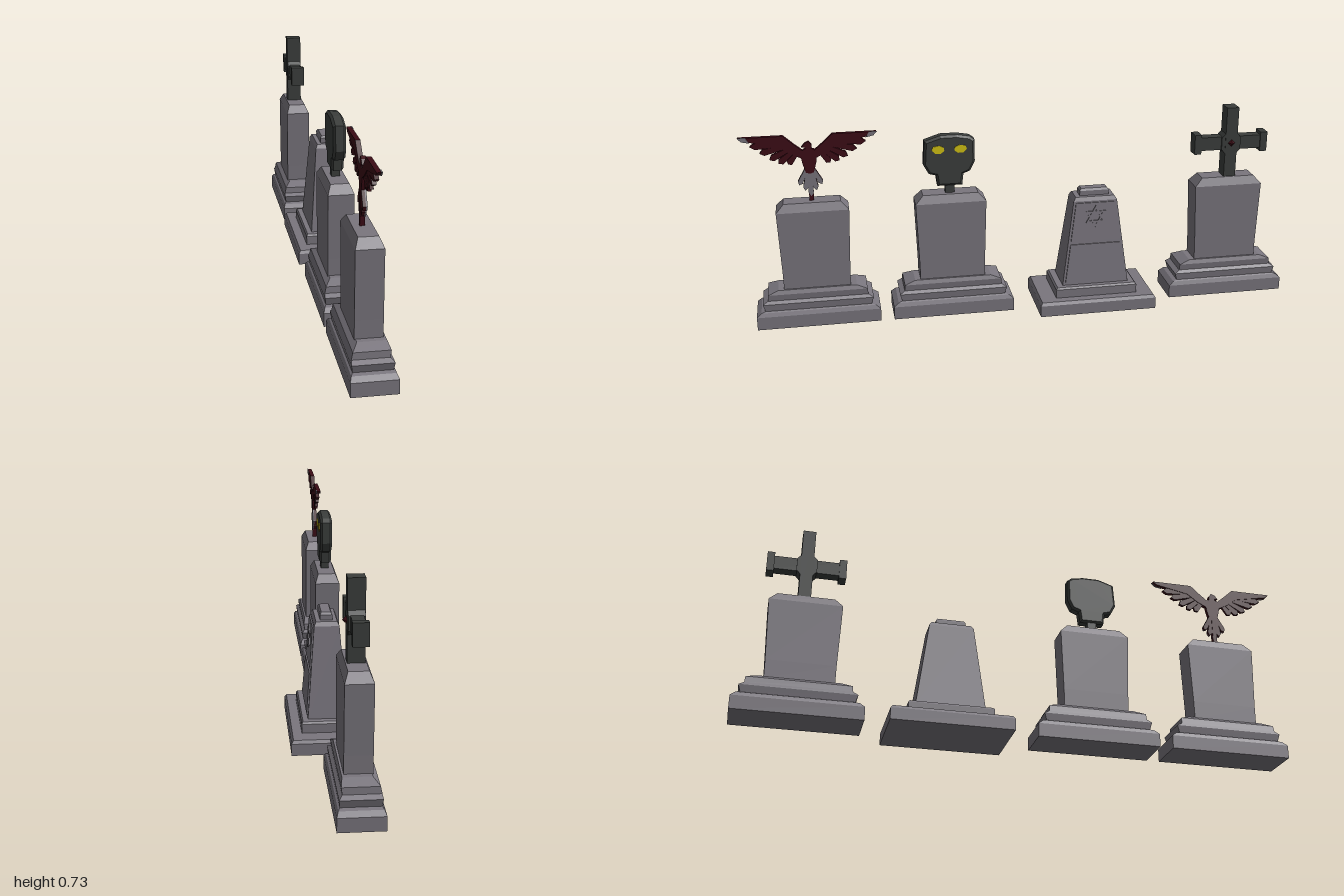
import * as THREE from 'three';

const mat = (color) => new THREE.MeshStandardMaterial({ color, flatShading: true, side: THREE.DoubleSide });
const STONE = mat(0x7a767e), DARK = mat(0x3b3e3c), RED = mat(0x3c0b15), YELLOW = mat(0xd2c212);

function add(parent, name, geometry, material, x = 0, y = 0, z = 0) {
  const mesh = new THREE.Mesh(geometry, material);
  mesh.name = name;
  mesh.position.set(x, y, z);
  parent.add(mesh);
  return mesh;
}

// Stack of rectangular rings [y, xMin, xMax, halfZ] joined into a closed solid
function loft(rings) {
  const pos = [], idx = [];
  for (const [y, a, b, h] of rings) pos.push(a, y, h, b, y, h, b, y, -h, a, y, -h);
  for (let r = 0; r < rings.length - 1; r++) {
    for (let i = 0; i < 4; i++) {
      const p = r * 4 + i, q = r * 4 + (i + 1) % 4;
      idx.push(p, q, q + 4, p, q + 4, p + 4);
    }
  }
  const t = (rings.length - 1) * 4;
  idx.push(0, 2, 1, 0, 3, 2, t, t + 1, t + 2, t, t + 2, t + 3);
  const g = new THREE.BufferGeometry();
  g.setAttribute('position', new THREE.Float32BufferAttribute(pos, 3));
  g.setIndex(idx);
  const flat = g.toNonIndexed();
  flat.computeVertexNormals();
  return flat;
}

// Flat outline seen from +x (first value runs towards -z), extruded from x0 to x1
function plate(points, x0, x1, hole, bevel = 0) {
  const shape = new THREE.Shape(points.map(([u, v]) => new THREE.Vector2(u, v)));
  if (hole) shape.holes.push(new THREE.Path(hole.map(([u, v]) => new THREE.Vector2(u, v))));
  const g = new THREE.ExtrudeGeometry(shape, {
    depth: x1 - x0 - 2 * bevel, bevelEnabled: bevel > 0, bevelSize: bevel,
    bevelThickness: bevel, bevelOffset: -bevel, bevelSegments: 1,
  });
  return g.translate(0, 0, x0 + bevel).rotateY(Math.PI / 2);
}

const mirror = (half) => [...half, ...half.slice().reverse().map(([u, v]) => [-u, v])];

// Moulded plinth and slab shared by three of the stones
function headstone(name, z) {
  const g = new THREE.Group();
  g.name = name;
  g.position.z = z;
  add(g, 'plinth', loft([
    [0, -0.12, 0.03, 0.222], [0.048, -0.12, 0.03, 0.222], [0.062, -0.114, 0.024, 0.205],
    [0.066, -0.108, 0.018, 0.19], [0.092, -0.112, 0.021, 0.198], [0.102, -0.11, 0.01, 0.18],
    [0.125, -0.105, 0.013, 0.178], [0.14, -0.086, 0.007, 0.14],
  ]), STONE);
  add(g, 'slab', loft([
    [0.13, -0.09, 0, 0.119], [0.2, -0.09, 0, 0.12], [0.43, -0.09, 0, 0.128], [0.46, -0.077, -0.013, 0.1],
  ]), STONE);
  return g;
}

// Spread-winged bird on a stem
function bird(parent) {
  const g = new THREE.Group();
  g.name = 'bird';
  parent.add(g);
  const x0 = -0.052, x1 = -0.036;
  add(g, 'birdBody', plate(mirror([
    [0, 0.56], [0.014, 0.565], [0.024, 0.6], [0.03, 0.64], [0.016, 0.65],
  ]), x0, x1), RED);
  add(g, 'birdHead', plate([
    [-0.012, 0.645], [0.012, 0.645], [0.012, 0.665], [0.002, 0.678], [-0.012, 0.672], [-0.024, 0.658], [-0.012, 0.658],
  ], x0, x1), RED);
  add(g, 'stem', new THREE.BoxGeometry(0.016, 0.12, 0.016), RED, -0.046, 0.51, 0);

  const feather = (name, [ax, ay], [bx, by], w, m, d0, d1) => {
    const l = Math.hypot(bx - ax, by - ay), nx = -(by - ay) / l * w, ny = (bx - ax) / l * w;
    const cx = ax + (bx - ax) * 0.85, cy = ay + (by - ay) * 0.85;
    add(g, name, plate([
      [ax - nx * 0.6, ay - ny * 0.6], [cx - nx, cy - ny], [bx, by], [cx + nx, cy + ny], [ax + nx * 0.6, ay + ny * 0.6],
    ], d0, d1), m);
  };
  const tips = [[0.2, 0.669], [0.168, 0.643], [0.135, 0.618], [0.105, 0.602], [0.073, 0.597]];
  for (const s of [-1, 1]) {
    add(g, 'wingArm', plate([
      [0.02, 0.615], [0.06, 0.635], [0.1, 0.665], [0.225, 0.69], [0.238, 0.702], [0.085, 0.702], [0.05, 0.67], [0.02, 0.645],
    ].map(([u, v]) => [s * u, v]), x0, x1), RED);
    add(g, 'wingTip', plate([
      [0.2, 0.683], [0.227, 0.689], [0.24, 0.703], [0.212, 0.703],
    ].map(([u, v]) => [s * u, v]), x1 - 0.002, x1 + 0.002), STONE);
    tips.forEach(([u, v], i) => feather('wingFeather', [s * (0.085 - i * 0.011), 0.672 - i * 0.009], [s * u, v],
      0.0115, RED, x0 + 0.002, x1 - 0.001 * i));
  }
  // Tail fan: pale front over a dark back
  for (let i = -2; i <= 2; i++) {
    const end = [i * 0.02, 0.475 + Math.abs(i) * 0.022];
    feather('tailBack', [i * 0.005, 0.58], end, 0.009, RED, x0, -0.042);
    feather('tailFront', [i * 0.005, 0.58], end, 0.009, STONE, -0.042, -0.037);
  }
}

// Angular head with yellow eyes on a short neck
function mask(parent) {
  const g = new THREE.Group();
  g.name = 'mask';
  parent.add(g);
  add(g, 'head', plate([
    [-0.045, 0.488], [0.045, 0.488], [0.05, 0.53], [0.075, 0.54], [0.092, 0.575], [0.092, 0.655], [0.075, 0.668],
    [0.03, 0.676], [-0.03, 0.676], [-0.088, 0.657], [-0.094, 0.57], [-0.075, 0.535], [-0.05, 0.528],
  ], -0.066, -0.022, null, 0.008), DARK);
  add(g, 'neck', new THREE.BoxGeometry(0.03, 0.04, 0.034), DARK, -0.045, 0.475, 0);
  for (const s of [-1, 1]) {
    add(g, 'eye', plate([
      [0.018, 0.622], [0.03, 0.612], [0.05, 0.612], [0.063, 0.625], [0.058, 0.638], [0.035, 0.641], [0.02, 0.634],
    ].map(([u, v]) => [s * u, v]), -0.03, -0.019), YELLOW);
  }
}

// Cross with flared arm ends and a small red stone
function cross(parent) {
  const g = new THREE.Group();
  g.name = 'cross';
  g.position.set(-0.045, 0, -0.007);
  parent.add(g);
  add(g, 'upright', new THREE.BoxGeometry(0.055, 0.27, 0.045), DARK, 0, 0.59, 0);
  add(g, 'arms', new THREE.BoxGeometry(0.04, 0.05, 0.25), DARK, 0, 0.588, 0);
  add(g, 'centreBoss', plate([
    [-0.036, 0.565], [-0.02, 0.547], [0.02, 0.547], [0.036, 0.565], [0.036, 0.611], [0.02, 0.628], [-0.02, 0.628], [-0.036, 0.611],
  ], -0.026, 0.026), DARK);
  for (const s of [-1, 1]) {
    add(g, 'armEnd', new THREE.BoxGeometry(0.05, 0.074, 0.026), DARK, 0, 0.588, s * 0.127);
  }
  add(g, 'redStone', new THREE.OctahedronGeometry(0.014), RED, 0.027, 0.59, 0);
}

// Tapered monument with panelled face and six-pointed star
function obelisk(z) {
  const g = new THREE.Group();
  g.name = 'obelisk';
  g.position.z = z;
  const tier = (name, rings) => add(g, name, loft(rings.map(([y, x, h]) => [y, -x, x, h])), STONE);
  tier('base', [[0.01, 0.13, 0.217], [0.052, 0.13, 0.217], [0.063, 0.123, 0.21]]);
  tier('step', [[0.06, 0.091, 0.152], [0.095, 0.091, 0.152], [0.102, 0.086, 0.146]]);
  tier('shaft', [[0.1, 0.068, 0.124], [0.42, 0.043, 0.081], [0.434, 0.036, 0.072]]);
  tier('cap', [[0.43, 0.021, 0.054], [0.452, 0.021, 0.054], [0.46, 0.016, 0.048]]);

  // Sloping front: heights here are measured from the shaft foot
  const face = new THREE.Group();
  face.name = 'frontFace';
  face.position.set(0.068, 0.1, 0);
  face.rotation.z = Math.atan2(0.025, 0.32);
  g.add(face);
  const half = (v) => 0.115 - v * 0.134;
  for (const [a, b] of [[0.015, 0.158], [0.172, 0.315]]) {
    add(face, 'panel', plate([[-half(a), a], [half(a), a], [half(b), b], [-half(b), b]], -0.004, 0.005), STONE);
  }
  const triangle = (r, turn) => [0, 1, 2].map((i) => {
    const t = turn + i * Math.PI * 2 / 3;
    return [r * Math.cos(t), 0.262 + r * Math.sin(t)];
  });
  for (const turn of [Math.PI / 2, -Math.PI / 2]) {
    add(face, 'star', plate(triangle(0.043, turn), 0.003, 0.01, triangle(0.028, turn).reverse()), STONE);
  }
  return g;
}

export function createModel() {
  const model = new THREE.Group();
  model.name = 'gravestones';
  const birdStone = headstone('birdGravestone', 0.76);
  const maskStone = headstone('maskGravestone', 0.268);
  const crossStone = headstone('crossGravestone', -0.778);
  bird(birdStone);
  mask(maskStone);
  cross(crossStone);
  model.add(birdStone, maskStone, obelisk(-0.255), crossStone);
  return model;
}
